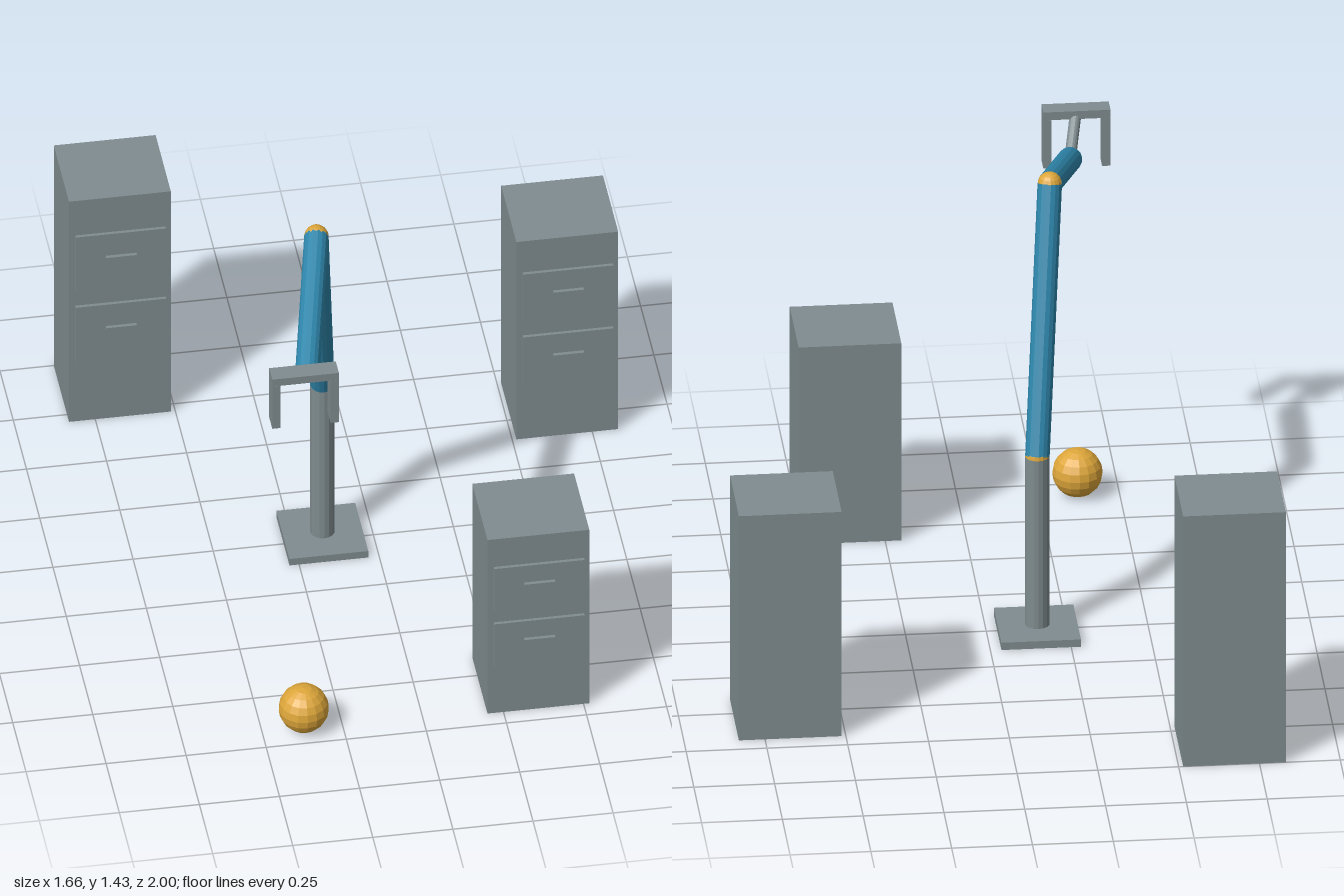
import * as THREE from 'three';

const material = (name, color) => {
  const m = new THREE.MeshStandardMaterial({ color, flatShading: true });
  m.name = name;
  return m;
};

export function createModel() {
  const steel = material('steel grey', 0x7f8c8f);
  const blue = material('arm blue', 0x2e86ab);
  const amber = material('amber', 0xdda63a);

  const add = (parent, name, geometry, mat, x, y, z) => {
    const mesh = new THREE.Mesh(geometry, mat);
    mesh.name = name;
    mesh.position.set(x, y, z);
    parent.add(mesh);
    return mesh;
  };
  const box = (parent, name, w, h, d, x, y, z) =>
    add(parent, name, new THREE.BoxGeometry(w, h, d), steel, x, y, z);
  // Cylinder running from point a to point b
  const rod = (parent, name, a, b, r, mat) => {
    const dir = b.clone().sub(a);
    const mid = a.clone().add(b).multiplyScalar(0.5);
    const mesh = add(parent, name, new THREE.CylinderGeometry(r, r, dir.length(), 16), mat, mid.x, mid.y, mid.z);
    mesh.quaternion.setFromUnitVectors(new THREE.Vector3(0, 1, 0), dir.normalize());
  };
  const ball = (parent, name, r, p) =>
    add(parent, name, new THREE.SphereGeometry(r, 16, 10), amber, p.x, p.y, p.z);

  const model = new THREE.Group();
  model.name = 'robotArmWithCabinets';

  // Two-drawer cabinets: centre x, height, front z
  const width = 0.318, depth = 0.287;
  for (const [x, h, front] of [[-0.673, 0.858, -0.713], [0.672, 0.769, -0.401], [0.359, 0.676, 0.944]]) {
    const cabinet = new THREE.Group();
    cabinet.name = 'cabinet';
    cabinet.position.set(x, 0, front);
    model.add(cabinet);
    box(cabinet, 'cabinetBody', width, h, depth, 0, h / 2, -depth / 2);
    for (const level of [0.408, 0.727]) {
      box(cabinet, 'drawerFront', 0.282, h * 0.25, 0.011, 0, h * level, 0.0145);
      box(cabinet, 'drawerHandle', 0.096, 0.011, 0.014, 0, h * (level + 0.0225), 0.025);
    }
  }

  // Arm: post, shoulder, elbow and wrist points
  const arm = new THREE.Group();
  arm.name = 'arm';
  model.add(arm);
  const foot = new THREE.Vector3(-0.157, 0.02, -0.013);
  const shoulder = new THREE.Vector3(-0.157, 0.6, -0.013);
  const elbow = new THREE.Vector3(-0.222, 1.395, 0.267);
  const wrist = new THREE.Vector3(-0.331, 1.237, 0.752);
  const grip = new THREE.Vector3(-0.361, 1.341, 0.874);
  box(arm, 'basePlate', 0.246, 0.025, 0.246, foot.x, 0.0125, foot.z);
  rod(arm, 'post', foot, shoulder, 0.038, steel);
  ball(arm, 'shoulderJoint', 0.038, shoulder);
  rod(arm, 'upperArm', shoulder, elbow, 0.038, blue);
  ball(arm, 'elbowJoint', 0.038, elbow);
  rod(arm, 'forearm', elbow, wrist, 0.038, blue);
  rod(arm, 'wristLink', wrist, grip, 0.018, steel);

  // Gripper: crossbar with two fingers
  box(arm, 'gripperBar', 0.208, 0.027, 0.059, grip.x, grip.y, grip.z);
  for (const side of [-1, 1]) {
    box(arm, 'gripperFinger', 0.026, 0.164, 0.059, grip.x + side * 0.091, 1.245, grip.z);
  }

  // Loose ball on the floor
  ball(model, 'floorBall', 0.078, new THREE.Vector3(-0.37, 0.078, 0.922));

  return model;
}
